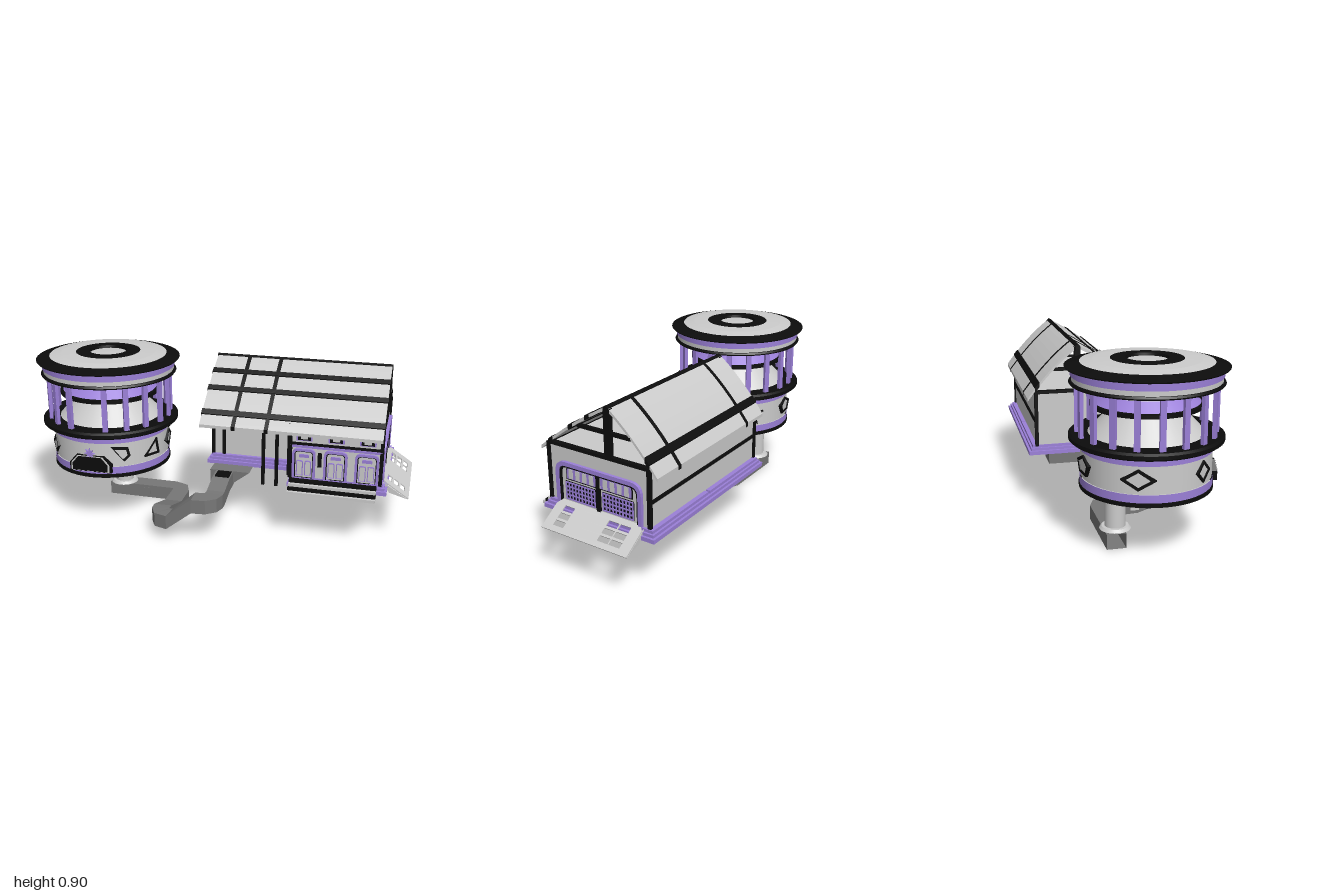
import * as THREE from 'three';

const mat = (c) => new THREE.MeshStandardMaterial({ color: c, side: THREE.DoubleSide });
const GREY = mat(0xcccccc), BLACK = mat(0x0c0c0c), PURPLE = mat(0x9b80d8), DARK = mat(0x777777);

function add(parent, name, geo, material, x = 0, y = 0, z = 0) {
  const m = new THREE.Mesh(geo, material);
  m.name = name;
  m.position.set(x, y, z);
  parent.add(m);
  return m;
}
// box given by its minimum and maximum corner
function block(parent, name, material, [x0, y0, z0], [x1, y1, z1]) {
  return add(parent, name, new THREE.BoxGeometry(x1 - x0, y1 - y0, z1 - z0), material,
    (x0 + x1) / 2, (y0 + y1) / 2, (z0 + z1) / 2);
}
const toVectors = (pts) => pts.map((p) => new THREE.Vector2(p[0], p[1]));
const toShape = (pts) => new THREE.Shape(toVectors(pts));
const scaled = (pts, s) => pts.map((p) => [p[0] * s, p[1] * s]);
const plate = (shape, depth) => new THREE.ExtrudeGeometry(shape, { depth, bevelEnabled: false, curveSegments: 6 });
// [z, y] outline pushed along x from x0 to x1
function alongX(parent, name, material, pts, x0, x1) {
  const m = add(parent, name, plate(toShape(pts.map(([z, y]) => [-z, y])), x1 - x0), material, x0);
  m.rotation.y = Math.PI / 2;
}
// lathed band with flat-edged profile of [radius, y]
function band(parent, name, material, pts) {
  for (let i = 0; i + 1 < pts.length; i++)
    add(parent, name, new THREE.LatheGeometry(toVectors([pts[i], pts[i + 1]]), 48), material);
}
// rectangle with rounded upper corners, standing on y = 0
function archPath(w, h, r, Type = THREE.Shape) {
  const s = new Type();
  s.moveTo(-w / 2, 0).lineTo(w / 2, 0).lineTo(w / 2, h - r);
  s.quadraticCurveTo(w / 2, h, w / 2 - r, h).lineTo(-w / 2 + r, h);
  s.quadraticCurveTo(-w / 2, h, -w / 2, h - r).lineTo(-w / 2, 0);
  return s;
}
function archFrame(w, h, r, t, depth) {
  const s = archPath(w, h, r);
  s.holes.push(archPath(w - 2 * t, h - t, Math.max(r - t, 0.005), THREE.Path));
  return plate(s, depth);
}
// regular polygon, or a star when an inner radius is given
function polygon(n, r, wide = 1, inner = 0) {
  const count = inner ? 2 * n : n;
  return Array.from({ length: count }, (_, i) => {
    const a = Math.PI / 2 + (i / count) * Math.PI * 2, q = inner && i % 2 ? inner : r;
    return [Math.cos(a) * q * wide, Math.sin(a) * q];
  });
}

function tower() {
  const g = new THREE.Group();
  g.name = 'tower';
  g.position.set(-0.62, 0, 0.048);
  // support pole
  add(g, 'pole', new THREE.CylinderGeometry(0.05, 0.05, 0.22, 24), GREY, 0, 0.19, -0.148);
  add(g, 'poleFlange', new THREE.CylinderGeometry(0.065, 0.076, 0.014, 24), GREY, 0, 0.085, -0.148);
  // lower drum
  band(g, 'drumFloor', GREY, [[0, 0.292], [0.312, 0.292]]);
  band(g, 'drumFoot', BLACK, [[0.308, 0.288], [0.316, 0.29], [0.316, 0.308], [0.306, 0.31]]);
  band(g, 'drumLowerBand', PURPLE, [[0.313, 0.31], [0.313, 0.348]]);
  band(g, 'drumWall', GREY, [[0.308, 0.348], [0.308, 0.478]]);
  band(g, 'drumUpperBand', PURPLE, [[0.308, 0.478], [0.313, 0.478], [0.313, 0.525]]);
  band(g, 'balconyRing', BLACK, [[0.3, 0.515], [0.352, 0.515], [0.364, 0.524], [0.364, 0.541], [0.352, 0.55], [0.26, 0.55]]);
  // inner core behind the columns
  band(g, 'core', GREY, [[0.275, 0.548], [0.15, 0.678]]);
  band(g, 'coreRing', BLACK, [[0.15, 0.675], [0.265, 0.675], [0.265, 0.694], [0.25, 0.696]]);
  band(g, 'coreBand', PURPLE, [[0.25, 0.695], [0.2, 0.737]]);
  band(g, 'coreNeck', GREY, [[0.2, 0.737], [0.19, 0.74], [0.19, 0.79]]);
  // columns, with a wider gap at the front
  for (let i = 0; i < 18; i++) {
    const a = THREE.MathUtils.degToRad(17 + (i * 326) / 17);
    const c = add(g, 'column', new THREE.BoxGeometry(0.027, 0.25, 0.018), PURPLE, Math.sin(a) * 0.325, 0.665, Math.cos(a) * 0.325);
    c.rotation.y = a;
  }
  // roof
  band(g, 'soffit', GREY, [[0.15, 0.781], [0.335, 0.781]]);
  band(g, 'roofRing', BLACK, [[0.335, 0.78], [0.355, 0.78], [0.36, 0.787], [0.355, 0.796], [0.34, 0.796]]);
  band(g, 'roofLowerTrim', GREY, [[0.347, 0.796], [0.347, 0.819]]);
  band(g, 'roofBand', PURPLE, [[0.352, 0.819], [0.352, 0.86]]);
  band(g, 'roofBrim', BLACK, [[0.345, 0.852], [0.376, 0.856], [0.38, 0.862], [0.31, 0.88]]);
  band(g, 'roofTop', GREY, [[0.31, 0.88], [0.25, 0.889], [0.17, 0.893]]);
  band(g, 'skylightRing', BLACK, [[0.17, 0.893], [0.15, 0.896], [0.1, 0.896], [0.097, 0.88]]);
  band(g, 'skylight', GREY, [[0.097, 0.882], [0, 0.886]]);
  // odd-shaped windows around the drum
  const windows = [
    [-51, polygon(4, 0.053)], [30, [[-0.05, 0.045], [0.04, 0.035], [0.05, -0.01], [0.015, -0.04]]],
    [64, [[-0.055, -0.035], [0.05, -0.04], [0.035, 0.05]]], [100, polygon(4, 0.05, 1.5)],
    [135, polygon(5, 0.07, 1.25, 0.034)], [188, polygon(5, 0.05, 1.5)], [248, polygon(4, 0.05, 1.6)],
  ];
  for (const [deg, pts] of windows) {
    const w = new THREE.Group(), frame = toShape(pts);
    w.name = 'drumWindow';
    frame.holes.push(new THREE.Path(toVectors(scaled(pts, 0.7))));
    add(w, 'windowFrame', plate(frame, 0.03), BLACK, 0, 0, 0.286);
    add(w, 'windowPane', plate(toShape(scaled(pts, 0.72)), 0.024), GREY, 0, 0, 0.287);
    w.rotation.y = THREE.MathUtils.degToRad(deg);
    w.position.y = 0.415;
    g.add(w);
  }
  // front panel with a star on top
  const panel = [[-0.115, -0.045], [0.115, -0.045], [0.115, 0], [0.075, 0.045], [-0.075, 0.045], [-0.115, 0]];
  [[1, BLACK, 0.032], [0.92, GREY, 0.036], [0.84, BLACK, 0.04]].forEach(([s, m, d]) =>
    add(g, 'frontPanel', plate(toShape(scaled(panel, s)), d), m, 0, 0.365, 0.28));
  add(g, 'panelStar', plate(toShape(polygon(8, 0.03, 1, 0.012)), 0.02), PURPLE, 0, 0.422, 0.298);
  return g;
}

// roof height over z: gently bowed slopes meeting at the ridge
const RIDGE = -0.165;
function roofY(z) {
  const front = z > RIDGE, t = front ? (z - RIDGE) / 0.395 : (RIDGE - z) / 0.265;
  return 0.86 - 0.272 * t + (front ? 0.06 : 0.08) * t * (1 - t);
}
function roofStrip(parent, name, material, za, zb, x0, x1, lift, drop) {
  const zs = Array.from({ length: 9 }, (_, i) => za + ((zb - za) * i) / 8);
  alongX(parent, name, material, [...zs.map((z) => [z, roofY(z) + lift]), ...zs.reverse().map((z) => [z, roofY(z) - drop])], x0, x1);
}

function house() {
  const g = new THREE.Group();
  g.name = 'house';
  // stepped L-shaped base
  [[0, 0.288, 0.308], [0.012, 0.308, 0.322], [0.022, 0.322, 0.336]].forEach(([s, y0, y1]) => {
    block(g, 'base', PURPLE, [-0.086 + s, y0, -0.43 + s], [0.4, y1, 0.012 - s]);
    block(g, 'base', PURPLE, [0.39 + s, y0, -0.43 + s], [0.89 - s, y1, 0.208 - s]);
  });
  add(g, 'drainCap', new THREE.CylinderGeometry(0.022, 0.022, 0.012, 6), BLACK, 0.74, 0.285, -0.23);
  // front steps
  for (let i = 0; i < 4; i++)
    block(g, 'step', i % 2 ? BLACK : GREY, [0.4, 0.268 + i * 0.015, 0.18], [0.84, 0.283 + i * 0.015, 0.265 - i * 0.017]);
  // walls
  block(g, 'rearWing', GREY, [-0.06, 0.33, -0.385], [0.4, 0.615, -0.03]);
  block(g, 'hall', GREY, [0.4, 0.33, -0.385], [0.855, 0.615, 0.183]);
  // timber frame
  for (const [x, z] of [[-0.06, -0.385], [-0.06, -0.03], [0.855, -0.385], [0.855, 0.183], [0.4, 0.183], [0.0, -0.028]])
    block(g, 'cornerPost', BLACK, [x - 0.009, 0.33, z - 0.009], [x + 0.009, 0.62, z + 0.009]);
  for (const x of [0.255, 0.325]) block(g, 'porchPost', BLACK, [x - 0.008, 0.26, 0.147], [x + 0.008, roofY(0.155) - 0.01, 0.163]);
  block(g, 'porchPost', BLACK, [0.38, 0.33, 0.147], [0.392, 0.62, 0.163]);
  for (const y of [0.46, 0.61]) block(g, 'backBeam', BLACK, [-0.065, y - 0.008, -0.393], [0.86, y + 0.008, -0.38]);
  block(g, 'wingBeam', BLACK, [-0.065, 0.585, -0.032], [0.4, 0.599, -0.023]);
  // open gables
  for (const x of [-0.055, 0.85]) {
    block(g, 'gableSill', BLACK, [x - 0.012, 0.61, -0.39], [x + 0.012, 0.626, 0.18]);
    block(g, 'gablePost', BLACK, [x - 0.012, x > 0 ? 0.62 : 0.335, -0.182], [x + 0.012, 0.85, -0.149]);
    block(g, 'gableTie', BLACK, [x - 0.009, 0.727, -0.29], [x + 0.009, 0.743, 0.005]);
  }
  // roof skin and straps
  const x0 = -0.066, x1 = 0.858;
  roofStrip(g, 'roofFront', GREY, RIDGE, 0.23, x0, x1, 0, 0.016);
  roofStrip(g, 'roofBack', GREY, -0.43, RIDGE, x0, x1, 0, 0.016);
  for (const z of [-0.055, 0.045, 0.17, -0.378]) roofStrip(g, 'roofStrap', BLACK, z - 0.012, z + 0.012, x0 - 0.003, x1 + 0.003, 0.005, 0.02);
  roofStrip(g, 'ridgeCap', BLACK, RIDGE - 0.012, RIDGE + 0.012, x0 - 0.003, x1 + 0.003, 0.003, 0.02);
  for (const x of [0.11, 0.28]) roofStrip(g, 'roofStrap', BLACK, RIDGE, 0.231, x - 0.01, x + 0.01, 0.003, 0.018);
  for (const x of [0.095, 0.69]) roofStrip(g, 'roofStrap', BLACK, -0.431, RIDGE, x - 0.01, x + 0.01, 0.003, 0.018);
  // three front doors with windows above
  for (const x of [0.47, 0.63, 0.785]) {
    add(g, 'doorFrame', archFrame(0.118, 0.155, 0.03, 0.012, 0.016), PURPLE, x, 0.337, 0.18);
    add(g, 'doorEdge', archFrame(0.094, 0.143, 0.02, 0.004, 0.012), BLACK, x, 0.337, 0.18);
    for (const s of [-1, 1]) add(g, 'doorPanel', archFrame(0.034, 0.08, 0.01, 0.004, 0.012), PURPLE, x + s * 0.021, 0.348, 0.18);
    add(g, 'doorLight', plate(archPath(0.05, 0.016, 0.008), 0.01), PURPLE, x, 0.445, 0.18);
    block(g, 'upperWindowFrame', PURPLE, [x - 0.04, 0.535, 0.17], [x + 0.04, 0.588, 0.19]);
    block(g, 'upperWindow', BLACK, [x - 0.032, 0.539, 0.17], [x + 0.032, 0.583, 0.192]);
    block(g, 'upperWindowPane', GREY, [x - 0.018, 0.545, 0.17], [x + 0.018, 0.57, 0.194]);
  }
  block(g, 'wallLamp', BLACK, [0.54, 0.4, 0.18], [0.56, 0.475, 0.19]);
  block(g, 'frontTrim', PURPLE, [0.4, 0.498, 0.175], [0.857, 0.51, 0.192]);
  block(g, 'frontBeam', BLACK, [0.4, 0.512, 0.175], [0.857, 0.524, 0.192]);

  // large glazed arch in the end wall
  const e = new THREE.Group();
  e.name = 'endWindow';
  e.position.set(0.855, 0.335, -0.105);
  e.rotation.y = Math.PI / 2;
  g.add(e);
  add(e, 'archFrame', archFrame(0.49, 0.208, 0.06, 0.02, 0.016), PURPLE);
  add(e, 'archEdge', archFrame(0.45, 0.188, 0.045, 0.008, 0.012), BLACK);
  add(e, 'transom', plate(archPath(0.38, 0.063, 0.02), 0.004), BLACK, 0, 0.118);
  add(e, 'transomPane', plate(archPath(0.37, 0.053, 0.016), 0.006), PURPLE, 0, 0.123);
  for (let i = 0; i < 9; i++) block(e, 'transomSlat', GREY, [-0.172 + i * 0.04, 0.126, 0], [-0.148 + i * 0.04, 0.173, 0.008]);
  block(e, 'mullion', BLACK, [-0.01, 0.005, 0], [0.01, 0.185, 0.012]);
  for (const s of [-1, 1]) {
    const c = s * 0.108;
    block(e, 'lattice', BLACK, [c - 0.088, 0.015, 0], [c + 0.088, 0.108, 0.004]);
    for (let i = 0; i < 10; i++) block(e, 'latticeBar', PURPLE, [c - 0.087 + i * 0.0187, 0.017, 0], [c - 0.081 + i * 0.0187, 0.106, 0.008]);
    for (let i = 0; i < 5; i++) block(e, 'latticeBar', PURPLE, [c - 0.086, 0.016 + i * 0.0212, 0], [c + 0.086, 0.022 + i * 0.0212, 0.008]);
  }
  // sloping end ramp with slots and closed sides
  const ramp = toShape([[-0.13, 0], [0.36, 0], [0.36, 0.135], [0.34, 0.165], [-0.11, 0.165], [-0.13, 0.135]]);
  for (const z of [-0.048, 0.21, 0.275]) for (const y of [0.028, 0.068, 0.108])
    ramp.holes.push(new THREE.Path(toVectors([[z - 0.03, y], [z - 0.03, y + 0.028], [z + 0.03, y + 0.028], [z + 0.03, y]])));
  const r = add(g, 'ramp', plate(ramp, 0.006), GREY, 0.995, 0.249, 0);
  r.rotation.y = Math.PI / 2;
  r.rotateX(-Math.atan2(0.135, 0.09));
  for (const z of [-0.36, 0.126]) add(g, 'rampSide', plate(toShape([[0.86, 0.335], [0.9, 0.275], [0.99, 0.25]]), 0.004), GREY, 0, 0, z);
  return g;
}

// square duct swept along a path, with its sides kept upright
function duct() {
  const path = [[-0.695, 0.038, -0.11], [-0.32, 0.038, -0.11], [-0.28, 0.038, -0.095], [-0.263, 0.038, -0.05], [-0.258, 0.042, 0.1],
    [-0.255, 0.1, 0.28], [-0.252, 0.103, 0.32], [-0.235, 0.103, 0.355], [-0.19, 0.105, 0.37], [-0.06, 0.212, 0.37], [0.0, 0.212, 0.365],
    [0.025, 0.212, 0.345], [0.035, 0.212, 0.31], [0.035, 0.213, 0.28], [0.035, 0.243, 0.18], [0.035, 0.252, 0.08]].map((p) => new THREE.Vector3(...p));
  const pos = [], idx = [];
  path.forEach((p, i) => {
    const a = path[Math.max(i - 1, 0)], b = path[Math.min(i + 1, path.length - 1)];
    const side = new THREE.Vector3(a.z - b.z, 0, b.x - a.x).normalize().multiplyScalar(0.047);
    for (const [s, y] of [[-1, -1], [1, -1], [1, 1], [-1, 1]]) pos.push(p.x + s * side.x, p.y + y * 0.037, p.z + s * side.z);
    if (i) for (let k = 0; k < 4; k++) {
      const c = i * 4 + k, d = i * 4 + ((k + 1) % 4);
      idx.push(c - 4, d - 4, d, c - 4, d, c);
    }
  });
  const geo = new THREE.BufferGeometry();
  geo.setAttribute('position', new THREE.Float32BufferAttribute(pos, 3));
  geo.setIndex(idx);
  const flat = geo.toNonIndexed();
  flat.computeVertexNormals();
  const g = new THREE.Group();
  g.name = 'walkway';
  add(g, 'duct', flat, DARK);
  // small side windows
  block(g, 'ductWindow', GREY, [-0.309, 0.022, 0.06], [-0.208, 0.06, 0.105]);
  block(g, 'ductWindow', DARK, [-0.49, 0.018, -0.1], [-0.45, 0.06, -0.061]);
  // wedge-shaped landing under the house
  add(g, 'landing', plate(toShape([[-0.045, 0.29], [-0.045, 0.22], [0.08, 0.22], [0.17, 0.29]]), 0.42), DARK, 0, 0, -0.32);
  block(g, 'hatch', BLACK, [0.0, 0.26, 0.08], [0.075, 0.288, 0.17]);
  return g;
}

export function createModel() {
  const model = new THREE.Group();
  model.name = 'model';
  model.add(tower(), house(), duct());
  return model;
}
